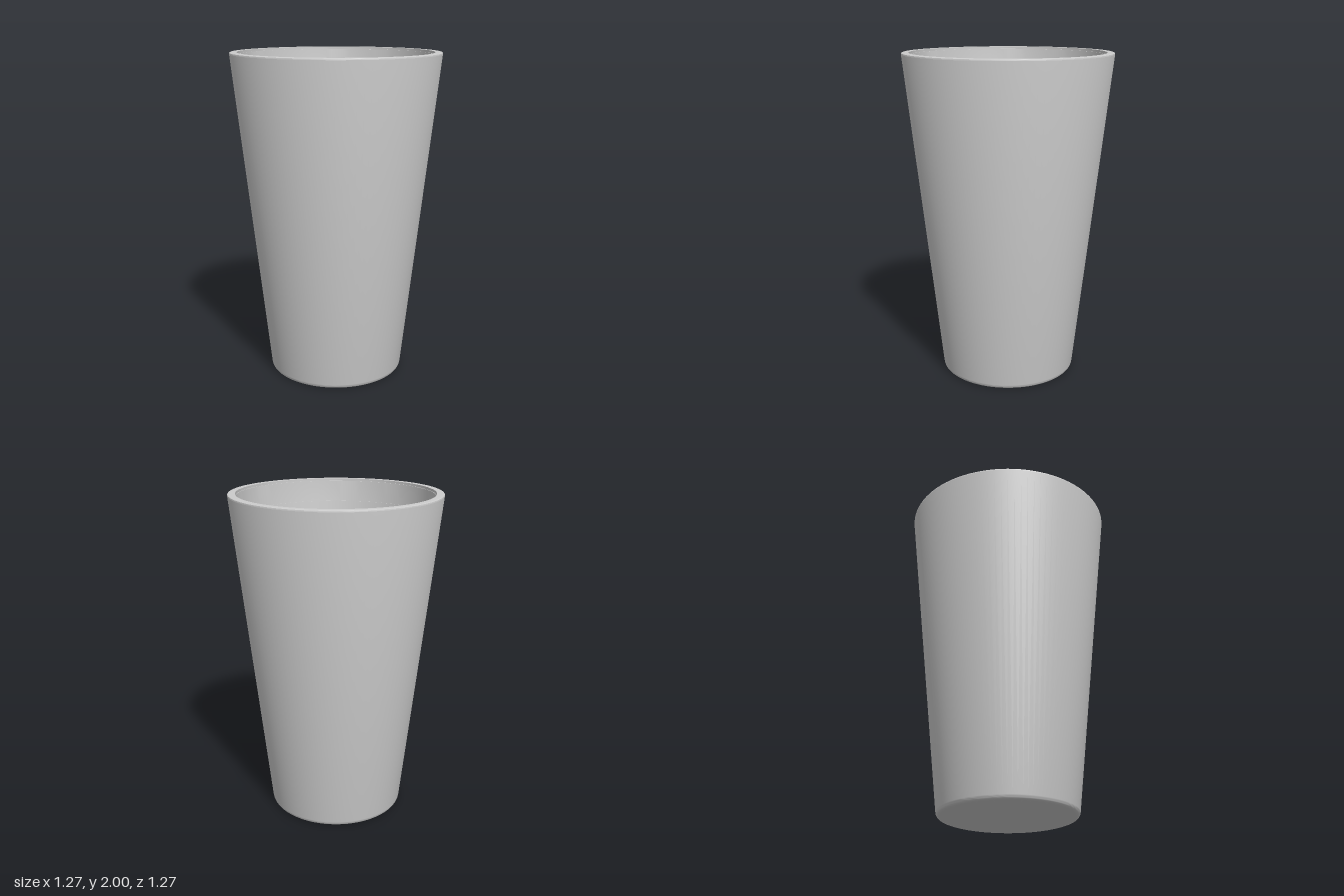
import * as THREE from 'three';
import { toCreasedNormals } from 'three/addons/utils/BufferGeometryUtils.js';

const SEGMENTS = 96;

// Quarter-round corner from a to b, bulging towards the corner point c
function corner(a, c, b, steps = 6) {
  const curve = new THREE.QuadraticBezierCurve(
    new THREE.Vector2(...a), new THREE.Vector2(...c), new THREE.Vector2(...b));
  return curve.getPoints(steps);
}

function lathe(name, points, material) {
  const geometry = toCreasedNormals(new THREE.LatheGeometry(points, SEGMENTS), Math.PI / 6);
  const mesh = new THREE.Mesh(geometry, material);
  mesh.name = name;
  return mesh;
}

export function createModel() {
  const group = new THREE.Group();
  group.name = 'cup';
  const material = new THREE.MeshStandardMaterial({ color: 0xcccccc });

  // Outer shell: flat base, rounded foot, tapered wall, softened rim
  const outer = [
    new THREE.Vector2(0, 0),
    ...corner([0.395, 0], [0.416, 0], [0.419, 0.025]),
    ...corner([0.635, 1.99], [0.636, 2], [0.627, 2], 4),
    new THREE.Vector2(0.59, 2),
  ];
  group.add(lathe('outerShell', outer, material));

  // Inner wall: shallow ledges evenly spaced down the taper
  const wallRadius = (y) => 0.385 + (y - 0.11) * 0.107;
  const ledge = 0.003, spacing = 0.128, top = 1.985;
  const inner = [new THREE.Vector2(0.59, 2), new THREE.Vector2(0.59, top)];
  for (let i = 0; i < 15; i++) {
    const y = top - i * spacing;
    inner.push(new THREE.Vector2(wallRadius(y), y));
    const next = y - spacing;
    if (i < 14) inner.push(new THREE.Vector2(wallRadius(next) + ledge, next));
  }

  // Rounded transition into the flat floor
  inner.push(...corner([0.385, 0.11], [0.38, 0.05], [0.32, 0.05], 8), new THREE.Vector2(0, 0.05));
  group.add(lathe('innerWallAndFloor', inner, material));

  return group;
}
